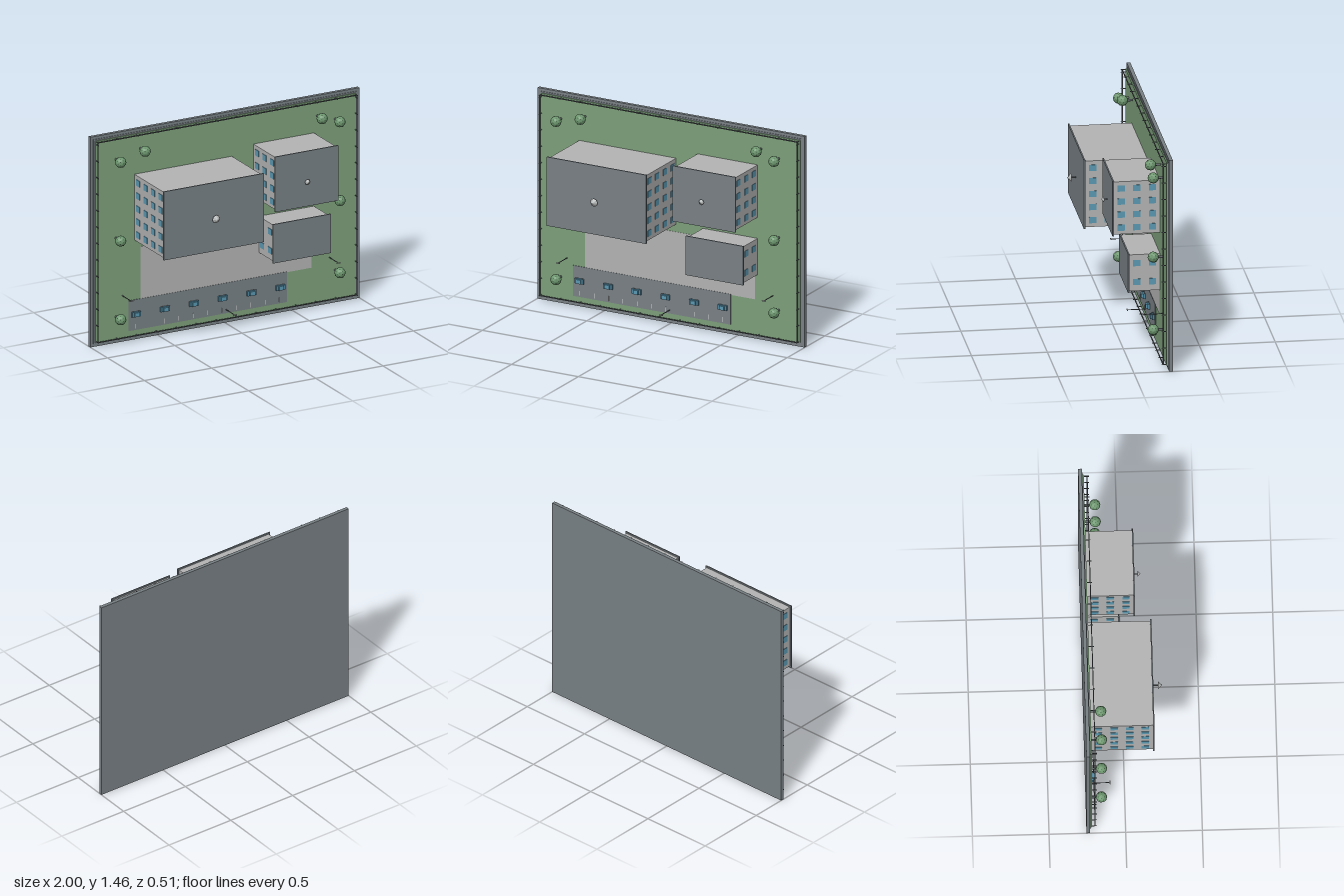
import * as THREE from 'three';

const mat = (name, color, flatShading = false) => {
  const m = new THREE.MeshStandardMaterial({ color, flatShading });
  m.name = name;
  return m;
};

export function createModel() {
  const root = new THREE.Group();
  root.name = 'campusPlan';
  const slate = mat('slate', 0x788084);
  const grass = mat('grass', 0x7c9f7a);
  const stone = mat('paleStone', 0xb2b3b2);
  const glass = mat('blueGlass', 0x5a98b2);
  const paint = mat('carBlue', 0x4f87a0);
  const dark = mat('darkMetal', 0x5c6265);
  const leaf = mat('leaf', 0x6c966e, true);
  const pale = mat('paleMetal', 0xb6b9b9, true);
  const white = mat('white', 0xd8d8d4);

  const add = (parent, name, geo, m, x = 0, y = 0, z = 0) => {
    const mesh = new THREE.Mesh(geo, m);
    mesh.name = name;
    mesh.position.set(x, y, z);
    parent.add(mesh);
    return mesh;
  };
  // box given by its limits on each axis
  const slab = (parent, name, m, x0, x1, y0, y1, z0, z1) =>
    add(parent, name, new THREE.BoxGeometry(x1 - x0, y1 - y0, z1 - z0), m,
      (x0 + x1) / 2, (y0 + y1) / 2, (z0 + z1) / 2);
  // upright rod pointing out of the board (+z)
  const rod = (parent, name, m, x, y, z0, z1, r0, r1 = r0, n = 8) =>
    add(parent, name, new THREE.CylinderGeometry(r1, r0, z1 - z0, n).rotateX(Math.PI / 2),
      m, x, y, (z0 + z1) / 2);
  const group = (name) => {
    const g = new THREE.Group();
    g.name = name;
    root.add(g);
    return g;
  };

  // board, lawn, plaza and car park
  const G = -0.22;
  slab(root, 'baseBoard', slate, -1, 1, 0, 1.455, -0.256, -0.232);
  slab(root, 'boardStep', slate, -0.98, 0.98, 0.02, 1.435, -0.232, -0.228);
  slab(root, 'lawn', grass, -0.97, 0.97, 0.03, 1.425, -0.228, G);
  slab(root, 'plaza', stone, -0.635, 0.635, 0.275, 0.64, G, G + 0.002);
  slab(root, 'carPark', slate, -0.725, 0.455, 0.07, 0.28, G, G + 0.004);

  // buildings: roof outline, roof height and the window rows of the side walls
  const buildings = [
    { x0: -0.69, x1: 0.055, y0: 0.683, y1: 1.158, top: 0.197, rows: [0.74, 0.83, 0.92, 1.01, 1.1], cols: 4 },
    { x0: 0.195, x1: 0.665, y0: 0.833, y1: 1.215, top: 0.094, rows: [0.888, 0.978, 1.068, 1.158], cols: 3 },
    { x0: 0.235, x1: 0.665, y0: 0.438, y1: 0.708, top: -0.008, rows: [0.51, 0.64], cols: 2 },
  ];
  const columns = [-0.17, -0.067, 0.035, 0.137];
  for (const { x0, x1, y0, y1, top, rows, cols } of buildings) {
    const b = group('building');
    const e = 0.01, c = (x0 + x1) / 2, half = (x1 - x0 - 2 * e) * 0.35;
    slab(b, 'walls', stone, x0 + e, x1 - e, y0 + e, y1 - e, G, top - 0.009);
    slab(b, 'roof', slate, x0, x1, y0, y1, top - 0.009, top);
    slab(b, 'glassFacade', glass, c - half, c + half, y0 - 0.001, y0 + e, G + 0.02, top - 0.02);
    slab(b, 'door', dark, c - 0.027, c + 0.027, y0 - 0.004, y0 + e, G, G + 0.07);
    for (const y of rows) {
      for (const z of columns.slice(0, cols)) {
        for (const x of [x0 + e, x1 - e]) {
          slab(b, 'window', glass, x - 0.003, x + 0.003, y - 0.021, y + 0.021, z - 0.024, z + 0.024);
        }
      }
    }
  }

  // roof masts with cone tops
  for (const [x, y, z, r, h] of [[-0.318, 0.915, 0.197, 0.028, 0.058], [0.423, 1.01, 0.094, 0.019, 0.042]]) {
    const a = group('roofMast');
    rod(a, 'mast', dark, x, y, z, z + h * 0.6, r * 0.2);
    rod(a, 'mastCone', pale, x, y, z + h * 0.55, z + h, r, 0.001);
  }

  // trees
  const trees = [[-0.818, 1.275], [-0.636, 1.32], [0.68, 1.32], [0.813, 1.275],
    [-0.818, 0.73], [0.813, 0.73], [-0.818, 0.185], [0.813, 0.23]];
  for (const [x, y] of trees) {
    const t = group('tree');
    rod(t, 'trunk', dark, x, y, G, -0.17, 0.008);
    add(t, 'crown', new THREE.IcosahedronGeometry(0.037, 1), leaf, x, y, -0.153);
  }

  // parked cars
  for (let i = 0; i < 6; i++) {
    const c = group('car');
    const x = -0.673 + i * 0.2145, y = 0.182;
    slab(c, 'carBody', paint, x - 0.033, x + 0.033, y - 0.017, y + 0.017, -0.214, -0.2);
    slab(c, 'carCabin', glass, x - 0.018, x + 0.018, y - 0.014, y + 0.014, -0.2, -0.189);
    for (const dx of [-0.02, 0.02]) {
      slab(c, 'wheels', dark, x + dx - 0.005, x + dx + 0.005, y - 0.018, y + 0.018, -0.216, -0.207);
    }
  }

  // parking bay lines
  for (let i = 0; i < 11; i++) {
    const x = -0.673 + i * 0.107;
    slab(root, 'bayLine', white, x - 0.0015, x + 0.0015, 0.08, 0.112, -0.216, -0.215);
  }

  // street lamps
  for (const [x, y] of [[-0.77, 0.323], [0.77, 0.323], [0, 0.095]]) {
    const l = group('streetLamp');
    rod(l, 'lampPost', dark, x, y, G, -0.096, 0.003);
    slab(l, 'lampHead', pale, x - 0.014, x + 0.014, y - 0.003, y + 0.003, -0.098, -0.093);
  }

  // perimeter fence
  const f = group('fence');
  const X = 0.963, Y0 = 0.037, Y1 = 1.42, w = 0.003;
  for (const y of [Y0, Y1]) {
    slab(f, 'fenceRail', dark, -X, X, y - w, y + w, -0.201, -0.195);
    for (let x = -X; x < X + 0.01; x += 2 * X / 13) rod(f, 'fencePost', dark, x, y, G, -0.187, w, w, 6);
  }
  for (const x of [-X, X]) {
    slab(f, 'fenceRail', dark, x - w, x + w, Y0, Y1, -0.201, -0.195);
    for (let i = 1; i < 13; i++) rod(f, 'fencePost', dark, x, Y0 + i * 0.1138, G, -0.187, w, w, 6);
  }
  return root;
}
